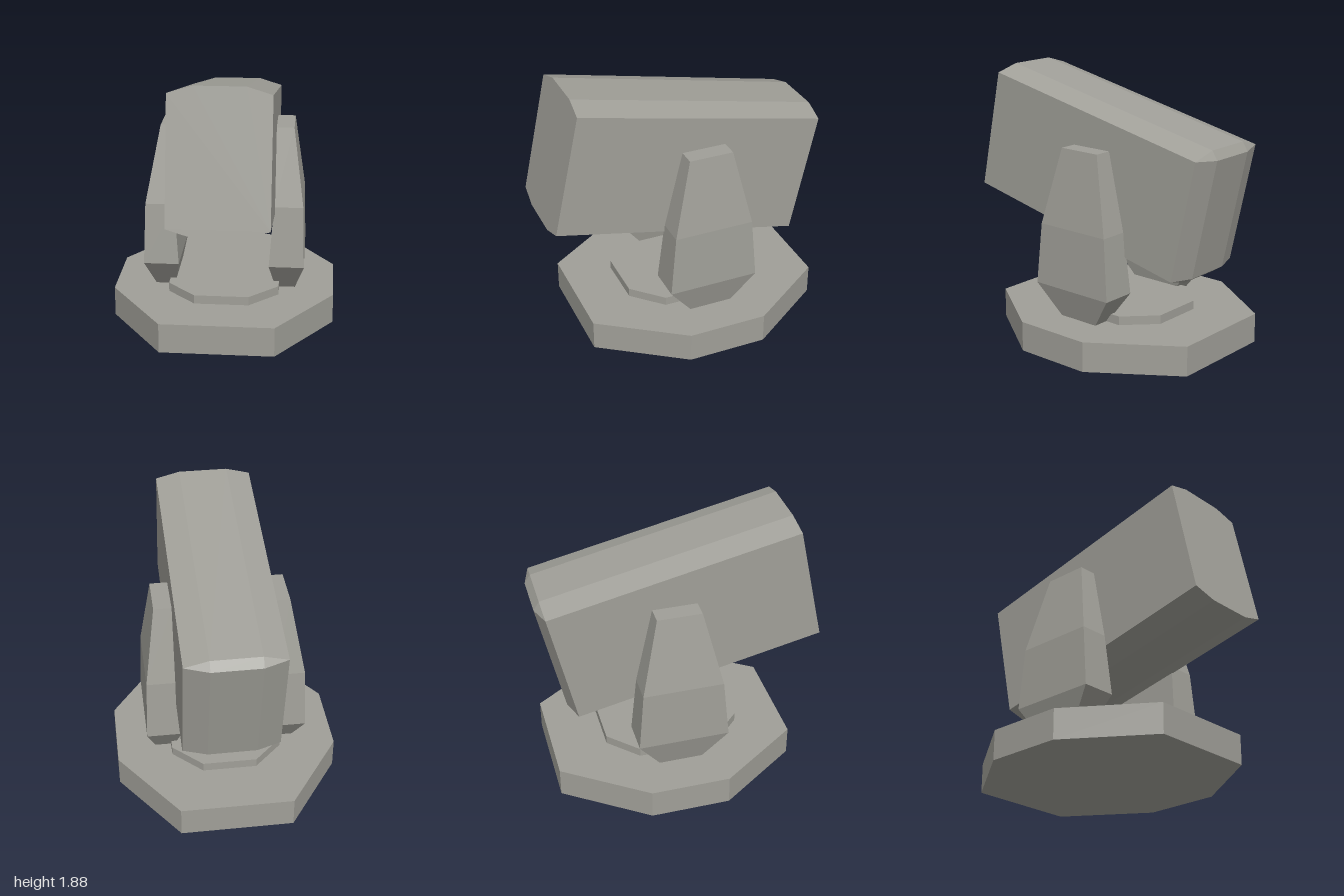
import * as THREE from 'three';

// Octagon with half sizes a, b and half flat lengths fa, fb, as [u, w] pairs
function octagon(a, b, fa, fb) {
  return [[a, fb], [a, -fb], [fa, -b], [-fa, -b], [-a, -fb], [-a, fb], [-fa, b], [fa, b]];
}

// Flat-faced solid joining successive rings of points, capped at both ends
function loft(rings) {
  const pos = [];
  const tri = (a, b, c) => {
    const t = new THREE.Triangle(a, b, c);
    if (t.getArea() > 1e-7) pos.push(...a.toArray(), ...b.toArray(), ...c.toArray());
  };
  const n = rings[0].length;
  for (let r = 0; r < rings.length - 1; r++) {
    const lo = rings[r], hi = rings[r + 1];
    for (let i = 0; i < n; i++) {
      const j = (i + 1) % n;
      tri(lo[i], lo[j], hi[j]);
      tri(lo[i], hi[j], hi[i]);
    }
  }
  const first = rings[0], last = rings[rings.length - 1];
  for (let i = 1; i < n - 1; i++) {
    tri(first[0], first[i + 1], first[i]);
    tri(last[0], last[i], last[i + 1]);
  }
  const geo = new THREE.BufferGeometry();
  geo.setAttribute('position', new THREE.Float32BufferAttribute(pos, 3));
  geo.computeVertexNormals();
  return geo;
}

export function createModel() {
  const group = new THREE.Group();
  const grey = new THREE.MeshStandardMaterial({ color: 0xa09f98, flatShading: true });
  grey.name = 'warm grey';

  const add = (name, geo) => {
    const mesh = new THREE.Mesh(geo, grey);
    mesh.name = name;
    group.add(mesh);
    return mesh;
  };

  // Octagonal base and the smaller turntable on it
  const slab = (oct, y0, y1, cx, cz) =>
    loft([y0, y1].map(y => oct.map(([x, z]) => new THREE.Vector3(x + cx, y, z + cz))));
  add('base', slab(octagon(0.787, 0.853, 0.393, 0.28), 0, 0.212, 0, -0.087));
  add('turntable', slab(octagon(0.392, 0.487, 0.19, 0.285), 0.212, 0.275, 0.005, -0.067));

  // Support arms: y, inner x, outer x, sideways shift, back z, front z
  const armSections = [
    [0.21, 0.363, 0.503, 0.007, -0.235, 0.075],
    [0.435, 0.319, 0.567, 0.007, -0.395, 0.25],
    [0.87, 0.35, 0.554, 0.007, -0.36, 0.21],
    [1.412, 0.34, 0.466, 0.02, -0.235, 0.08],
  ];
  for (const [name, side] of [['leftArm', 1], ['rightArm', -1]]) {
    add(name, loft(armSections.map(([y, inner, outer, shift, back, front]) => {
      const xs = [side * inner + shift, side * outer + shift];
      const lo = Math.min(...xs), hi = Math.max(...xs);
      return [[hi, front], [hi, back], [lo, back], [lo, front]]
        .map(([x, z]) => new THREE.Vector3(x, y, z));
    })));
  }

  // Tilted head: long octagonal block with a bevelled rear end
  const body = octagon(0.337, 0.481, 0.17, 0.431);
  const rear = octagon(0.17, 0.428, 0.17, 0.428);
  const headRing = (oct, z) => oct.map(([x, w]) => new THREE.Vector3(x + 0.026, 1.188 - w, z));
  const head = add('head', loft([headRing(rear, -0.672), headRing(body, -0.62), headRing(body, 1.176)]));
  head.rotation.set(-0.2138, 0.004, 0, 'YXZ');

  return group;
}
